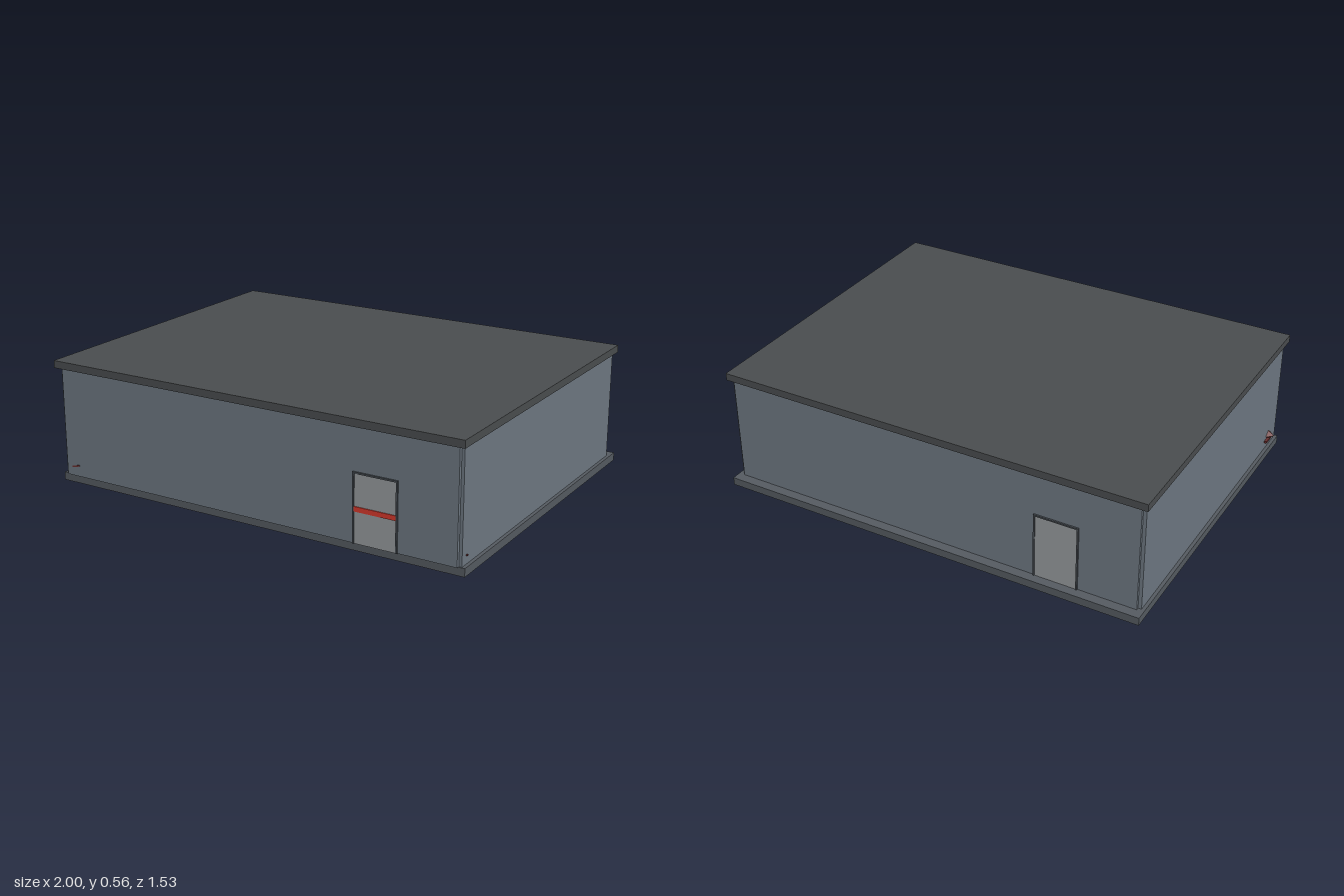
import * as THREE from 'three';

const mat = (color) => new THREE.MeshStandardMaterial({ color, flatShading: true });

// Box given by its minimum and maximum corners
function block(parent, name, material, [x0, y0, z0], [x1, y1, z1]) {
  const mesh = new THREE.Mesh(new THREE.BoxGeometry(x1 - x0, y1 - y0, z1 - z0), material);
  mesh.position.set((x0 + x1) / 2, (y0 + y1) / 2, (z0 + z1) / 2);
  mesh.name = name;
  parent.add(mesh);
  return mesh;
}

export function createModel() {
  const model = new THREE.Group();
  model.name = 'building';
  const wall = mat(0x6f7983), roof = mat(0x4b4e50), base = mat(0x565c62);
  const frame = mat(0x4a5056), panel = mat(0x989c9f), red = mat(0xd8392c), darkRed = mat(0x6a3030);

  // Floor slab and flat roof, slightly offset from each other in depth
  block(model, 'floorSlab', base, [-0.985, 0, -0.765], [0.995, 0.036, 0.74]);
  block(model, 'roof', roof, [-0.985, 0.522, -0.735], [0.995, 0.555, 0.765]);

  // Four wall panels meeting in notched corners
  const y0 = 0.036, y1 = 0.522, t = 0.015;
  block(model, 'frontWall', wall, [-0.955, y0, 0.735 - t], [0.967, y1, 0.75]);
  block(model, 'backWall', wall, [-0.955, y0, -0.722], [0.967, y1, -0.71 + t]);
  block(model, 'leftWall', wall, [0.967 - t, y0, -0.71], [0.98, y1, 0.735]);
  block(model, 'rightWall', wall, [-0.97, y0, -0.71], [-0.955 + t, y1, 0.735]);

  // Door: local origin at the bottom centre of the wall face, facing +z
  function door(name, x, z, turn, hasBar) {
    const group = new THREE.Group();
    group.name = name;
    const w = 0.1, h = 0.3, f = 0.007;
    block(group, 'doorPanel', panel, [-w + f, 0, -0.004], [w - f, h - f, 0.003]);
    for (const s of [-1, 1]) {
      const c = s * (w - f / 2);
      block(group, 'doorJamb', frame, [c - f / 2, 0, -0.004], [c + f / 2, h, 0.007]);
    }
    block(group, 'doorLintel', frame, [-w + f, h - f, -0.004], [w - f, h, 0.007]);
    if (hasBar) block(group, 'pushBar', red, [-w + f, 0.136, 0], [w - f, 0.157, 0.007]);
    group.position.set(x, y0, z);
    group.rotation.y = turn;
    model.add(group);
  }
  door('frontDoor', 0.61, 0.75, 0, true);
  door('backDoor', -0.595, -0.722, Math.PI, false);

  // Small pointed fitting on the right wall
  const spike = new THREE.Mesh(new THREE.ConeGeometry(0.022, 0.032, 4), darkRed);
  spike.name = 'wallSpike';
  spike.rotation.z = Math.PI / 2;
  spike.position.set(-0.984, 0.092, 0.645);
  spike.scale.z = 1.4;
  model.add(spike);
  block(model, 'wallSpikeFoot', darkRed, [-0.982, 0.07, 0.6], [-0.968, 0.08, 0.66]);

  // Small slivers on the front and left walls
  const sliver = block(model, 'frontSliver', darkRed, [-0.925, 0.079, 0.748], [-0.885, 0.085, 0.754]);
  sliver.rotation.z = 0.22;
  block(model, 'leftSliver', darkRed, [0.978, 0.071, 0.695], [0.986, 0.077, 0.703]);

  return model;
}
